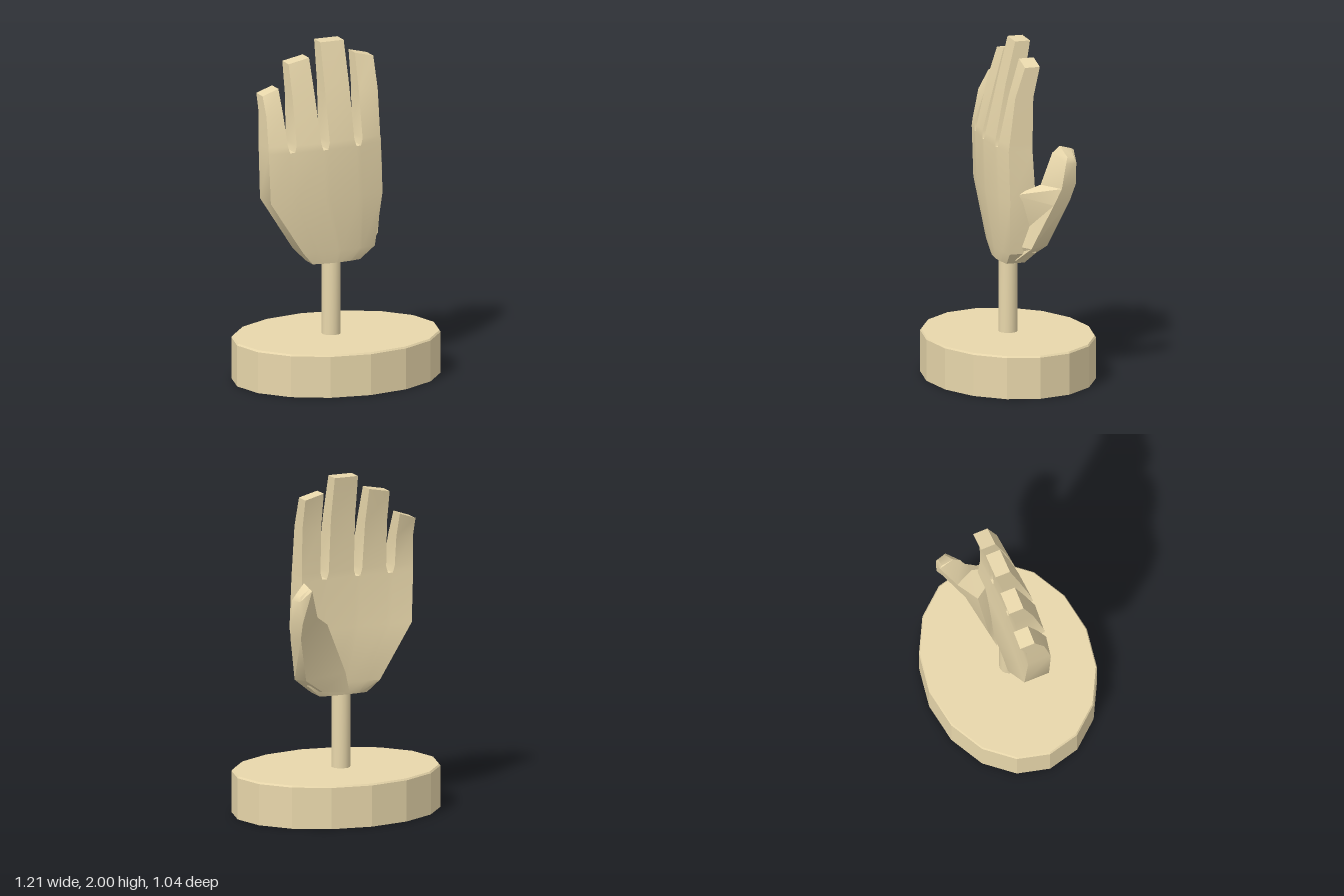
import * as THREE from 'three';
import { mergeGeometries, toCreasedNormals } from 'three/addons/utils/BufferGeometryUtils.js';

const TURN = THREE.MathUtils.degToRad(27);
const C = Math.cos(TURN), S = Math.sin(TURN);

// Hand space (u across the palm, y up, w out of the back of the hand) to model space
const place = (u, y, w) => [u * C - w * S, y, u * S + w * C];

// Skin rings that run along the front left to right, then along the back right to left
function loft(rings, capBottom, capTop) {
  const pos = [], n = rings[0].length;
  const quad = (a, b, c, d) => pos.push(...a, ...b, ...c, ...a, ...c, ...d);
  for (let i = 0; i < rings.length - 1; i++) {
    const lo = rings[i], hi = rings[i + 1];
    for (let j = 0; j < n; j++) {
      const k = (j + 1) % n;
      quad(lo[j], lo[k], hi[k], hi[j]);
    }
  }
  const first = rings[0], last = rings[rings.length - 1];
  for (let i = 0; i < n / 2 - 1; i++) {
    if (capBottom) quad(first[n - 1 - i], first[n - 2 - i], first[i + 1], first[i]);
    if (capTop) quad(last[i], last[i + 1], last[n - 2 - i], last[n - 1 - i]);
  }
  const geo = new THREE.BufferGeometry();
  geo.setAttribute('position', new THREE.Float32BufferAttribute(pos, 3));
  return geo;
}

// Finger edges across the knuckle line
const COLS = [-0.46, -0.335, -0.305, -0.13, -0.10, 0.085, 0.115, 0.25];
const KNUCKLE = { y: 1.39, left: -0.46, right: 0.25, fe: 0.075, fc: 0.115, be: -0.07, bc: -0.055 };

// Depth bulges from the edge value to the centre value across the hand
const bulge = (t, edge, centre) => centre + (edge - centre) * (2 * t - 1) ** 2;

function palmRing({ y, left, right, fe, fc, be, bc }) {
  const ts = COLS.map(u => (u - COLS[0]) / (COLS[7] - COLS[0]));
  const point = (t, e, c) => place(left + (right - left) * t, y, bulge(t, e, c));
  return [...ts.map(t => point(t, fe, fc)), ...ts.slice().reverse().map(t => point(t, be, bc))];
}

function palmGeometry() {
  return loft([
    { y: 0.695, left: -0.17, right: 0.13, fe: 0.05, fc: 0.07, be: -0.06, bc: -0.07 },
    { y: 0.77, left: -0.235, right: 0.22, fe: 0.06, fc: 0.085, be: -0.1, bc: -0.09 },
    { y: 1.09, left: -0.445, right: 0.265, fe: 0.07, fc: 0.11, be: -0.085, bc: -0.065 },
    KNUCKLE,
  ].map(palmRing), true, true);
}

// A finger grows from two knuckle columns and curls towards the palm
function fingerGeometry({ col, tip, yl, yr }) {
  const [a, b] = [COLS[col], COLS[col + 1]];
  const depth = (u, e, c) => bulge((u - COLS[0]) / (COLS[7] - COLS[0]), e, c);
  const f = [a, b].map(u => depth(u, KNUCKLE.fe, KNUCKLE.fc));
  const k = [a, b].map(u => depth(u, KNUCKLE.be, KNUCKLE.bc));
  const row = (l, r, y0, y1, f0, f1, b0, b1) => [
    place(l, y0, f0), place(r, y1, f1), place(r, y1, b1), place(l, y0, b0)];
  const gl = col === 0 ? a : a + 0.012, gr = col === 6 ? b : b - 0.012;
  const mid = 1.39 + (Math.max(yl, yr) - 1.39) * 0.6;
  const [tl, tr] = tip;
  return loft([
    row(a, b, 1.39, 1.39, f[0], f[1], k[0], k[1]),
    row(gl, gr, 1.43, 1.43, f[0] - 0.005, f[1] - 0.005, k[0], k[1]),
    row((gl + tl) / 2, (gr + tr) / 2, mid, mid, 0.035, 0.035, -0.075, -0.075),
    row(tl, tr, yl, yr, -0.025, -0.025, -0.115, -0.115),
  ], false, true);
}

const FINGERS = [
  { col: 0, tip: [-0.455, -0.355], yl: 1.715, yr: 1.75 },
  { col: 2, tip: [-0.29, -0.16], yl: 1.89, yr: 1.915 },
  { col: 4, tip: [-0.088, 0.06], yl: 2.0, yr: 2.0 },
  { col: 6, tip: [0.131, 0.248], yl: 1.915, yr: 1.885 },
];

// Thumb sections: inner front, outer front, outer back, inner back
const THUMB = [
  [[0, 0.71, 0.06], [0.15, 0.72, 0.08], [0.16, 0.73, -0.03], [0, 0.71, -0.1]],
  [[0.1, 0.81, 0.1], [0.28, 0.81, 0.085], [0.305, 0.82, -0.02], [0.05, 0.84, -0.11]],
  [[0.2, 1.13, 0.15], [0.4, 1.08, 0.02], [0.43, 1.1, -0.08], [0.17, 1.14, -0.07]],
  [[0.3, 1.19, 0.03], [0.435, 1.18, -0.01], [0.45, 1.2, -0.11], [0.3, 1.21, -0.1]],
  [[0.345, 1.38, -0.02], [0.45, 1.33, -0.03], [0.463, 1.33, -0.1], [0.4, 1.39, -0.14]],
  [[0.37, 1.42, -0.055], [0.44, 1.365, -0.05], [0.45, 1.36, -0.095], [0.4, 1.4, -0.12]],
];

export function createModel() {
  const group = new THREE.Group();
  const material = new THREE.MeshStandardMaterial({ color: 0xe8d7ab, side: THREE.DoubleSide });
  const add = (name, geo, crease) => {
    const mesh = new THREE.Mesh(toCreasedNormals(geo, crease), material);
    mesh.name = name;
    group.add(mesh);
    return mesh;
  };

  // Oval base, open underneath, with a fine bevel at the top
  const profile = [[1, 0], [1, 0.245], [0.987, 0.255], [0, 0.255]]
    .map(([r, y]) => new THREE.Vector2(r, y));
  const base = new THREE.LatheGeometry(profile, 16);
  base.scale(0.628, 1, 0.497);
  base.rotateY(-TURN);
  add('base', base, 0.3);

  // Post from just under the base top into the wrist
  const post = new THREE.CylinderGeometry(0.055, 0.055, 0.53, 16, 1, true);
  post.translate(-0.02, 0.485, -0.02);
  add('post', post, 0.6);

  // Palm and four fingers share one smooth skin
  add('palmAndFingers', mergeGeometries([palmGeometry(), ...FINGERS.map(fingerGeometry)]), 0.6);
  add('thumb', loft(THUMB, true, true), 0.6);
  return group;
}
